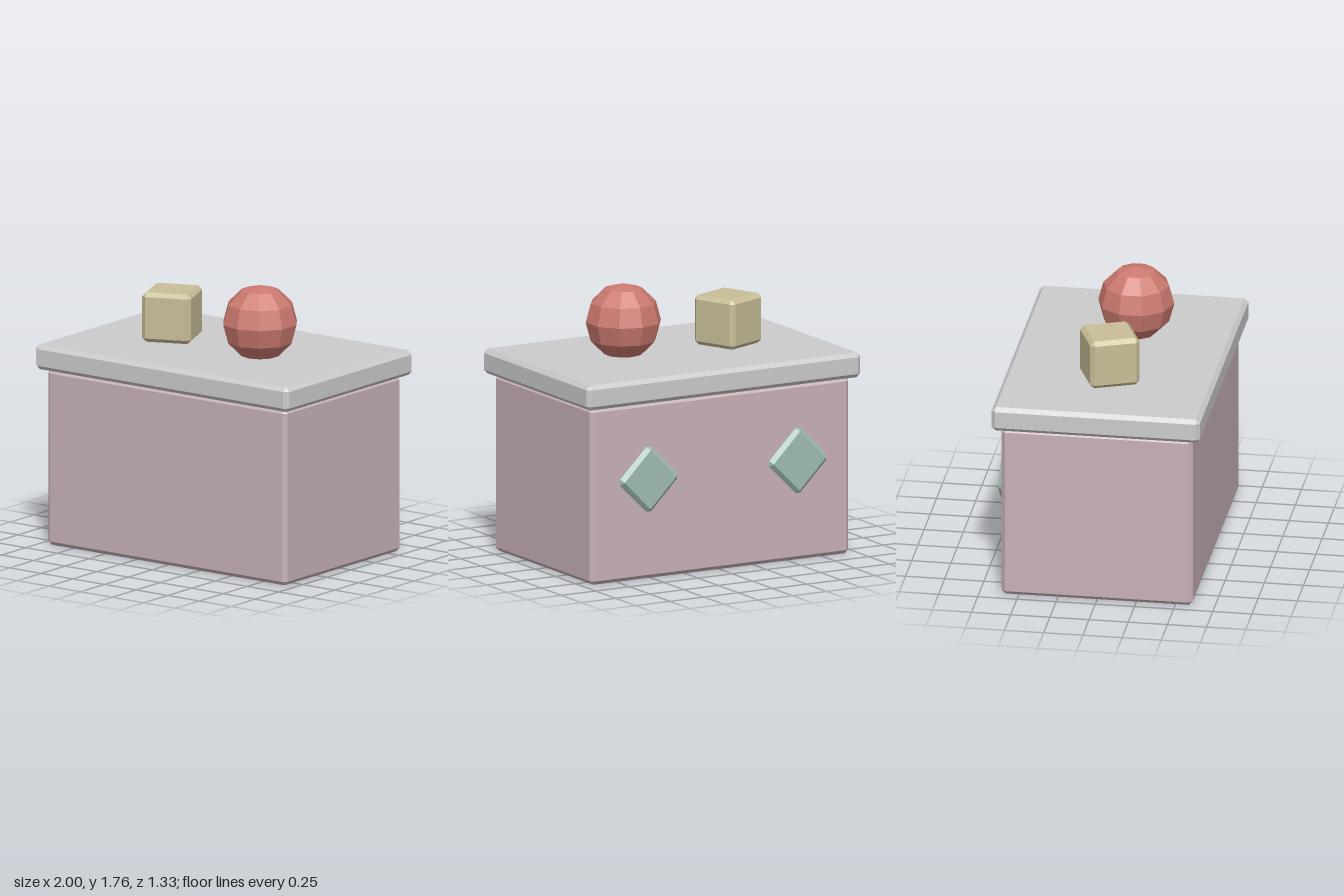
import * as THREE from 'three';
import { ConvexGeometry } from 'three/addons/geometries/ConvexGeometry.js';

const BEVEL = 0.026;

// Box with chamfered edges: the hull of three points at every corner.
function chamferedBox(w, h, d, c = BEVEL) {
  const points = [];
  for (const sx of [-1, 1]) for (const sy of [-1, 1]) for (const sz of [-1, 1]) {
    for (let face = 0; face < 3; face++) {
      const inset = [c, c, c];
      inset[face] = 0;
      points.push(new THREE.Vector3(
        sx * (w / 2 - inset[0]), sy * (h / 2 - inset[1]), sz * (d / 2 - inset[2])));
    }
  }
  return new ConvexGeometry(points);
}

export function createModel() {
  const model = new THREE.Group();
  model.name = 'chestWithBlockAndBall';

  function add(name, geometry, color, x, y, z) {
    const material = new THREE.MeshStandardMaterial({ color, flatShading: true });
    const mesh = new THREE.Mesh(geometry, material);
    mesh.name = name;
    mesh.position.set(x, y, z);
    model.add(mesh);
    return mesh;
  }

  // Chest body and overhanging lid
  add('body', chamferedBox(1.89, 1.14, 1.22), 0xc8b2b6, 0, 0.57, 0);
  add('lid', chamferedBox(2, 0.16, 1.33), 0xc8c8c4, 0, 1.22, 0);

  // Block resting on the lid, turned about its vertical axis
  add('block', chamferedBox(0.32, 0.32, 0.32), 0xc8be98, -0.41, 1.46, 0)
    .rotation.y = 0.39;

  // Low-poly ball, sunk slightly into the lid
  add('ball', new THREE.SphereGeometry(0.2425, 10, 6), 0xcc7a70, 0.325, 1.517, 0.053)
    .rotation.y = Math.PI / 2;

  // Two diamond plates on the back
  for (const side of [-1, 1]) {
    add(side > 0 ? 'leftBackPlate' : 'rightBackPlate',
      chamferedBox(0.32, 0.32, 0.056), 0xa0bcb2, side * 0.545, 0.65, -0.635)
      .rotation.z = Math.PI / 4;
  }

  return model;
}
